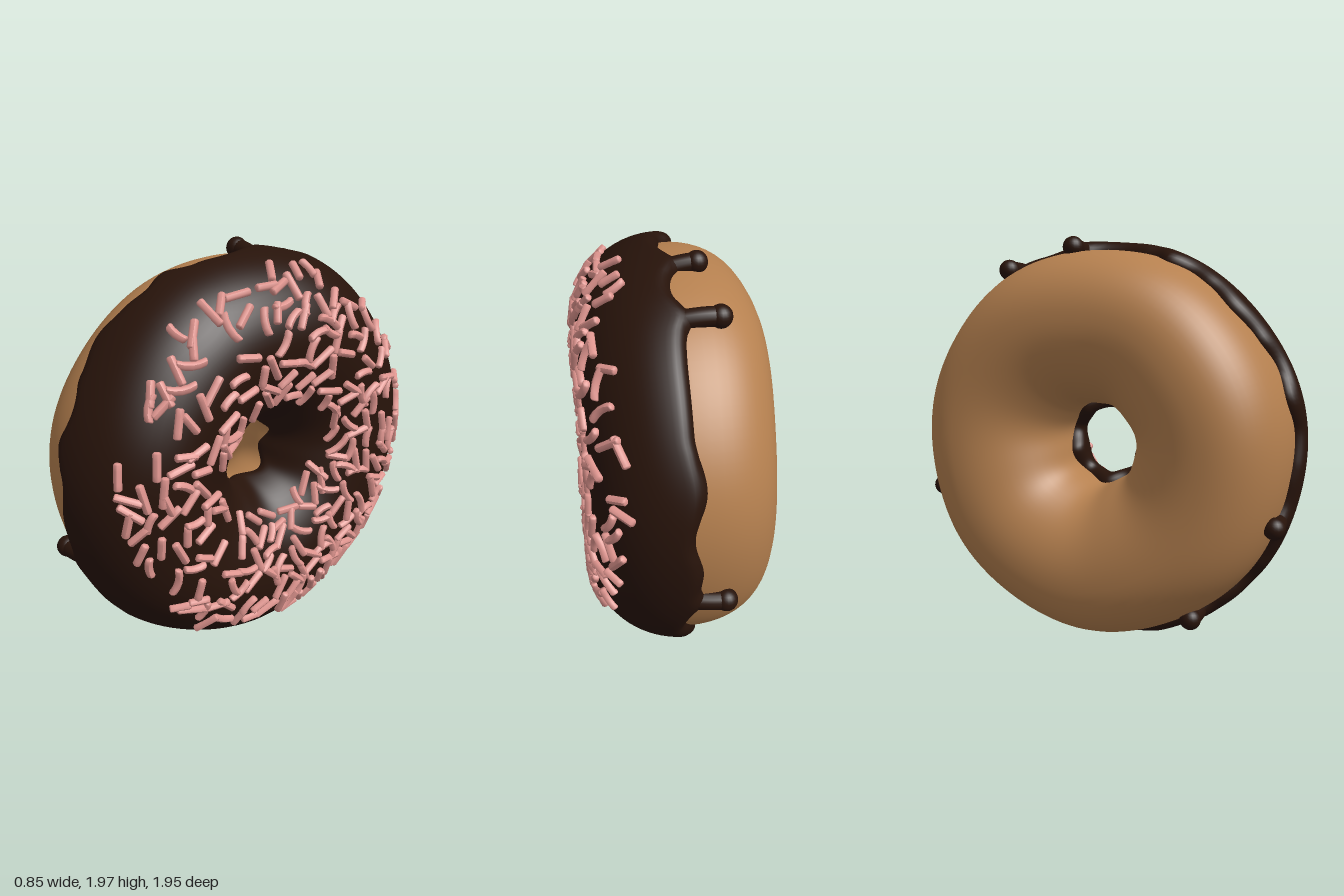
import * as THREE from 'three';
import { mergeGeometries } from 'three/addons/utils/BufferGeometryUtils.js';

const TAU = Math.PI * 2, DEG = Math.PI / 180;
const spow = (v, p) => Math.sign(v) * Math.pow(Math.abs(v), p);
const MID = -0.03, HALF = 0.385, ICING = 0.05, CENTRE_Y = 0.988;

// point on the ring (axis along x): a goes round the ring, t round the cross-section
function surface(a, t, off = 0) {
  const c = Math.cos(t), s = Math.sin(t), outer = c > 0;
  const p = outer && s < 0 ? 0.87 : 1; // the back outer corner is squarer
  const lump = 0.004 * Math.sin(3 * a + 1) + 0.004 * Math.sin(7 * a);
  const r = 0.6 + spow(c, p) * (outer ? 0.33 + off : 0.4 + off) + lump;
  const x = MID + spow(s, p) * (HALF + 0.7 * off) + 0.006 * Math.sin(4 * a) * s;
  return new THREE.Vector3(x, CENTRE_Y + r * Math.sin(a), r * Math.cos(a));
}
// cross-section angle on the outer wall at a given x
const outerAngle = x => Math.asin(spow((x - MID) / HALF, x < MID ? 1 / 0.87 : 1));

// smooth grid closed round the ring, open or closed in the other direction
function ringGrid(na, nt, closed, fn) {
  const pos = [], idx = [], cols = closed ? nt : nt + 1;
  for (let i = 0; i < na; i++)
    for (let j = 0; j < cols; j++) pos.push(...fn(i / na * TAU, j / nt).toArray());
  for (let i = 0; i < na; i++)
    for (let j = 0; j < nt; j++) {
      const k = (j + 1) % cols, n = (i + 1) % na;
      const A = i * cols + j, B = i * cols + k, C = n * cols + k, D = n * cols + j;
      idx.push(A, B, D, B, C, D);
    }
  const g = new THREE.BufferGeometry();
  g.setAttribute('position', new THREE.Float32BufferAttribute(pos, 3));
  g.setIndex(idx);
  g.computeVertexNormals();
  return g;
}

// wavy rim of the icing: [degrees round the ring, x]
const RIM = [[6, -0.01], [16, -0.07], [25, -0.03], [34, -0.08], [45, -0.12], [54, -0.09], [61, -0.07],
  [68, -0.1], [75, -0.02], [84, 0], [97, -0.03], [108, 0], [118, -0.03], [133, -0.02], [147, -0.02],
  [161, -0.06], [174, -0.01], [186, -0.05], [198, -0.03], [212, 0], [224, -0.07], [237, -0.02],
  [250, -0.07], [264, -0.02], [278, -0.03], [289, -0.08], [303, -0.05], [310, -0.05], [321, 0],
  [328, -0.02], [340, -0.04], [352, -0.04]];
// drips: [degrees round the ring, x of the bead centre]
const DRIPS = [[97, -0.13], [118, -0.17], [197, -0.15], [341, -0.15], [303.5, -0.17]];

function rimX(a) {
  const d = (a / DEG % 360 + 360) % 360, n = RIM.length;
  let i = RIM.findIndex(p => p[0] > d);
  if (i < 0) i = 0;
  const p = RIM[(i + n - 1) % n], q = RIM[i];
  const span = (q[0] - p[0] + 360) % 360, u = ((d - p[0] + 360) % 360) / span;
  let x = p[1] + (q[1] - p[1]) * (1 - Math.cos(Math.PI * u)) / 2;
  // fillet where a drip leaves the rim
  for (const [da] of DRIPS) x -= 0.04 * Math.exp(-(((d - da) / 3.6) ** 2));
  return x;
}

function icingPoint(a, v) {
  const s = (1 - Math.cos(v * Math.PI)) / 2;
  const t0 = outerAngle(rimX(a));
  const t1 = Math.PI - Math.asin((0.03 * Math.sin(5 * a) - MID) / HALF);
  const d = Math.min(1, Math.min(s, 1 - s) / 0.05);
  return surface(a, t0 + (t1 - t0) * s, -0.008 + (ICING + 0.008) * Math.sqrt(1 - (1 - d) ** 2));
}

// small rod, optionally bent, with softened ends
function rod(length, bend) {
  const r = 0.0185, h = length / 2;
  const prof = [[0, -h], [r * 0.7, -h], [r, -h + 0.006], [r, -h / 2], [r, 0], [r, h / 2],
    [r, h - 0.006], [r * 0.7, h], [0, h]].map(p => new THREE.Vector2(...p));
  const g = new THREE.LatheGeometry(prof, 8);
  const p = g.attributes.position;
  for (let i = 0; i < p.count; i++) p.setX(i, p.getX(i) + bend * (p.getY(i) ** 2 - h * h / 3));
  g.computeVertexNormals();
  return g;
}

export function createModel() {
  const model = new THREE.Group();
  const mat = color => new THREE.MeshStandardMaterial({ color });
  const add = (name, geo, m) => {
    const mesh = new THREE.Mesh(geo, m);
    mesh.name = name;
    model.add(mesh);
  };
  const doughMat = mat(0xb5804f), icingMat = mat(0x27130a), pink = mat(0xdf958f);
  icingMat.side = THREE.DoubleSide;

  add('dough', ringGrid(128, 56, true, (a, v) => surface(a, v * TAU)), doughMat);
  add('icing', ringGrid(288, 48, false, icingPoint), icingMat);

  // drips: a run from under the rim ending in a round bead
  const drips = [];
  for (const [deg, tip] of DRIPS) {
    const a = deg * DEG, start = rimX(a) + 0.06, pts = [];
    for (let i = 0; i <= 4; i++)
      pts.push(surface(a, outerAngle(start + (tip - start) * i / 4), -0.005 + 0.007 * i));
    drips.push(new THREE.TubeGeometry(new THREE.CatmullRomCurve3(pts), 12, 0.042, 16));
    const bead = new THREE.SphereGeometry(0.05, 20, 14);
    bead.translate(...pts[4].toArray());
    drips.push(bead);
  }
  add('icingDrips', mergeGeometries(drips), icingMat);

  // sprinkles scattered over the iced face
  let seed = 7;
  const rnd = () => (seed = (seed * 16807) % 2147483647) / 2147483647;
  const rods = [], placed = [];
  for (let tries = 0; tries < 6000 && rods.length < 250; tries++) {
    const a = rnd() * TAU, sn = Math.sin(a);
    const inner = 0.35 + 0.12 * Math.min(0, sn), outer = 0.86 + 0.05 * sn;
    const r = Math.sqrt(inner ** 2 + rnd() * (outer ** 2 - inner ** 2));
    if (Math.cos(a) > 0.1 && rnd() > 0.6) continue;
    const t = Math.acos((r - 0.6) / ((r > 0.6 ? 0.33 : 0.4) + ICING)), p = surface(a, t, ICING);
    if (placed.some(q => q.distanceTo(p) < 0.05)) continue;
    placed.push(p);
    const e = 0.02;
    const across = surface(a, t + e, ICING).sub(surface(a, t - e, ICING)).normalize();
    const along = surface(a + e, t, ICING).sub(surface(a - e, t, ICING)).normalize();
    const normal = across.clone().cross(along).normalize();
    const spin = rnd() * TAU;
    const dir = across.multiplyScalar(Math.cos(spin)).addScaledVector(along, Math.sin(spin));
    dir.addScaledVector(normal, -dir.dot(normal)).normalize();
    const side = dir.clone().cross(normal);
    const g = rod(0.095 + 0.045 * rnd(), rnd() < 0.4 ? 3.5 : 0);
    g.applyMatrix4(new THREE.Matrix4().makeBasis(side, dir, normal)
      .setPosition(p.addScaledVector(normal, 0.008)));
    rods.push(g);
  }
  add('sprinkles', mergeGeometries(rods), pink);
  return model;
}
